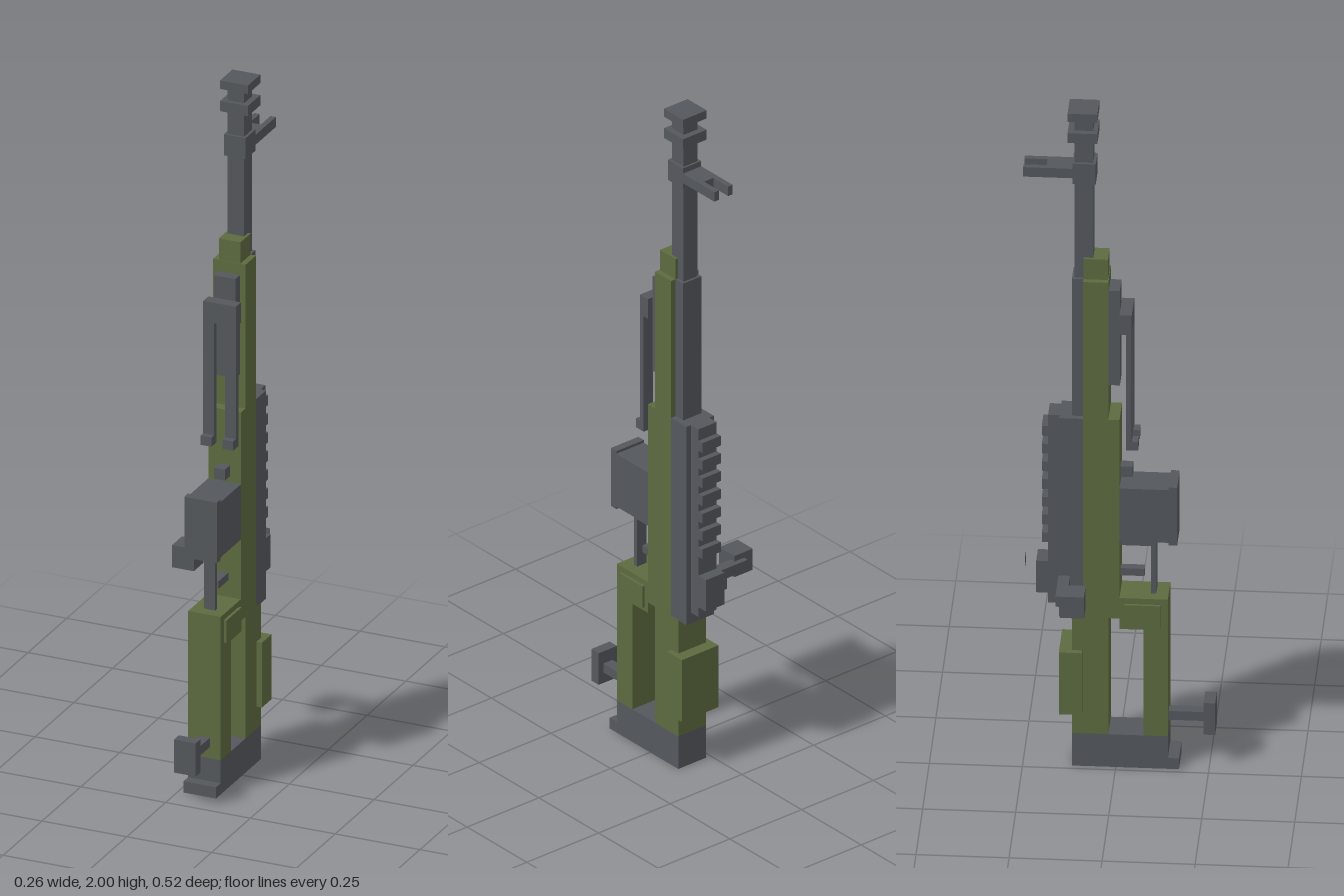
import * as THREE from 'three';

export function createModel() {
  const model = new THREE.Group();
  const steel = new THREE.MeshStandardMaterial({ color: 0x54585c });
  steel.name = 'gunmetal grey';
  const olive = new THREE.MeshStandardMaterial({ color: 0x5d6a3f });
  olive.name = 'olive green';
  const sightGrey = new THREE.MeshStandardMaterial({ color: 0x54585c, side: THREE.DoubleSide });
  sightGrey.name = 'sight grey';

  const cx = 0.064; // centre line of the body
  const FULL = 0.096, MID = 0.064, SLIM = 0.032;

  // Box from its extents along each axis
  function span(name, mat, x0, x1, y0, y1, z0, z1) {
    const mesh = new THREE.Mesh(new THREE.BoxGeometry(x1 - x0, y1 - y0, z1 - z0), mat);
    mesh.position.set((x0 + x1) / 2, (y0 + y1) / 2, (z0 + z1) / 2);
    mesh.name = name;
    model.add(mesh);
    return mesh;
  }
  // Box of a given width on the centre line
  const box = (name, mat, w, y0, y1, z0, z1) =>
    span(name, mat, cx - w / 2, cx + w / 2, y0, y1, z0, z1);
  // Mirrored pair, from inner to outer distance off the centre line
  function pair(name, mat, inner, outer, y0, y1, z0, z1) {
    span(name + 'Left', mat, cx + inner, cx + outer, y0, y1, z0, z1);
    span(name + 'Right', mat, cx - outer, cx - inner, y0, y1, z0, z1);
  }

  // Butt pad and skeleton stock
  box('buttPad', steel, FULL, 0, 0.1, -0.118, 0.14);
  box('buttPadToe', steel, FULL, 0, 0.033, 0.14, 0.17);
  box('stockLowerBar', olive, FULL, 0.1, 0.52, 0.075, 0.14);
  box('gripBlock', olive, FULL, 0.425, 0.52, 0.01, 0.075);
  box('gripPanels', olive, 0.112, 0.437, 0.503, 0.023, 0.12);
  box('stockUpperBar', olive, FULL, 0.1, 0.46, -0.118, -0.02);
  box('cheekRest', olive, 0.128, 0.165, 0.355, -0.152, -0.09);

  // Adjustable stock foot
  box('stockFootPost', steel, SLIM, 0.133, 0.16, 0.14, 0.235);
  box('stockFoot', steel, MID, 0.1, 0.197, 0.235, 0.266);

  // Receiver and fore-end
  box('receiver', olive, FULL, 0.457, 1.067, -0.088, 0.01);
  box('foreEnd', olive, FULL, 1.067, 1.488, -0.088, -0.02);
  box('foreEndTip', olive, MID, 1.488, 1.55, -0.088, -0.022);
  box('upperCover', steel, FULL, 0.457, 1.067, -0.152, -0.088);

  // Rail with teeth
  box('rail', steel, MID, 0.49, 1.067, -0.183, -0.152);
  for (let i = 0; i < 7; i++) {
    const y = 1.002 - i * 0.0545;
    box('railTooth', steel, MID, y, y + 0.03, -0.2, -0.183);
  }

  // Rear sight
  box('rearSightBlock', steel, MID, 0.52, 0.617, -0.215, -0.152);
  const plate = new THREE.Mesh(new THREE.PlaneGeometry(SLIM, 0.032), sightGrey);
  plate.name = 'rearSightPlate';
  plate.position.set(cx, 0.603, -0.246);
  model.add(plate);

  // Bolt handle on the right side
  span('boltHandle', steel, -0.1, 0.016, 0.552, 0.583, -0.154, -0.123);
  span('boltKnob', steel, -0.13, -0.066, 0.535, 0.6, -0.139, -0.075);

  // Magazine, release, guard and trigger
  box('magazine', steel, FULL, 0.695, 0.857, 0.01, 0.142);
  box('magazineBase', steel, FULL, 0.687, 0.865, 0.142, 0.165);
  box('magazineRelease', steel, SLIM, 0.875, 0.907, 0.01, 0.043);
  box('triggerGuardTop', steel, SLIM, 0.665, 0.68, 0.01, 0.107);
  box('triggerGuardFront', steel, SLIM, 0.52, 0.665, 0.093, 0.107);
  box('trigger', steel, SLIM * 0.75, 0.57, 0.592, 0.01, 0.075);

  // Folded bipod
  box('bipodMount', steel, MID, 1.165, 1.455, -0.02, 0.01);
  box('bipodHinge', steel, FULL, 1.33, 1.39, 0.01, 0.043);
  pair('bipodLeg', steel, 0.016, 0.048, 0.975, 1.33, 0.027, 0.043);
  pair('bipodFoot', steel, 0.016, 0.048, 0.975, 1.002, 0.043, 0.06);

  // Barrel, shroud and front sight
  box('barrelShroud', steel, MID, 1.067, 1.488, -0.119, -0.088);
  box('barrel', steel, 0.048, 1.488, 1.98, -0.112, -0.062);
  box('frontSightClamp', steel, MID, 1.78, 1.842, -0.118, -0.055);
  box('frontSightBase', steel, MID, 1.797, 1.826, -0.188, -0.118);
  pair('frontSightProng', steel, 0.016, 0.032, 1.797, 1.826, -0.25, -0.188);

  // Muzzle brake
  for (const [y0, y1] of [[1.91, 1.94], [1.975, 2]]) {
    box('muzzleBrakePlate', steel, 0.082, y0, y1, -0.13, -0.05);
  }
  return model;
}
